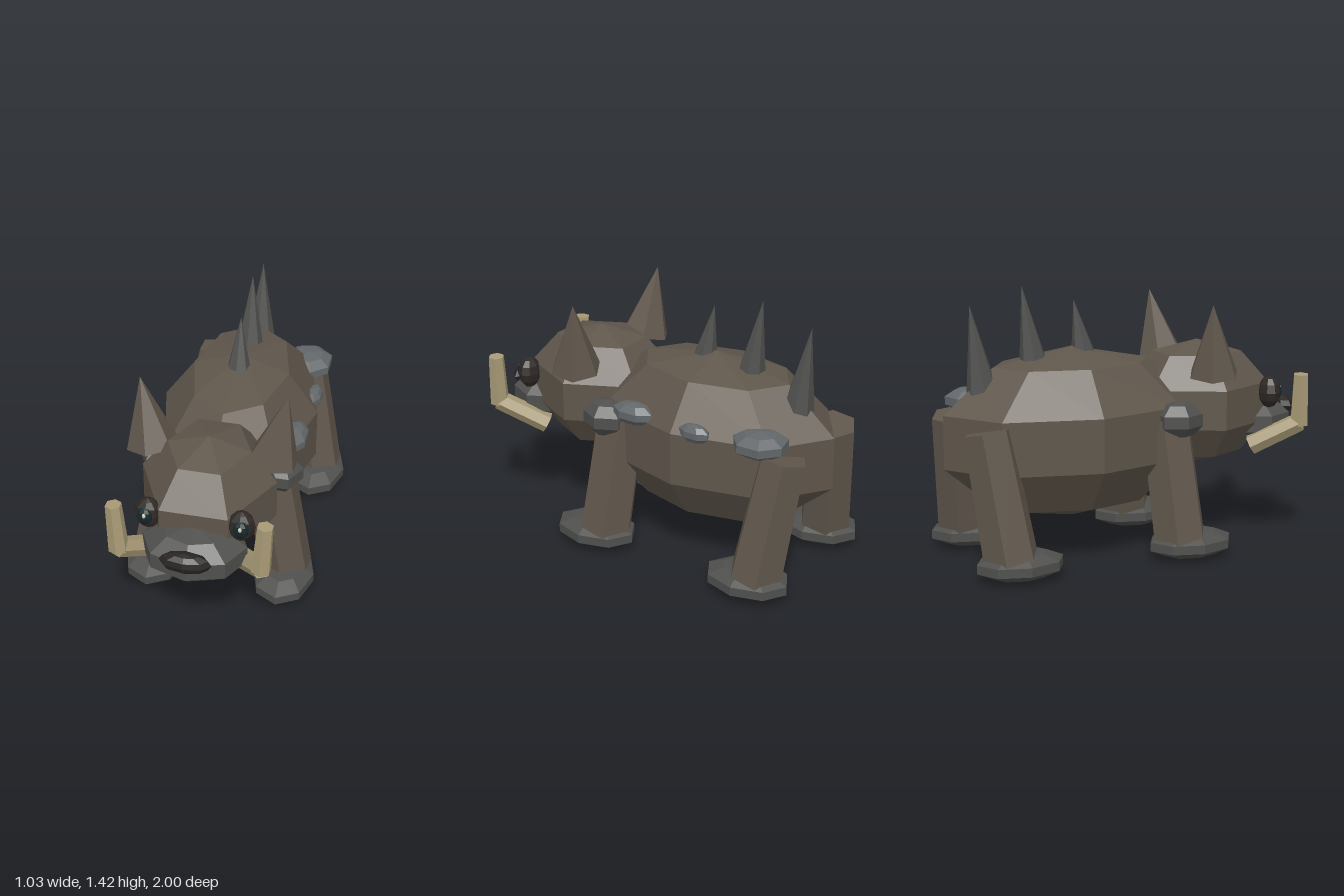
import * as THREE from 'three';

const mat = (color) => new THREE.MeshStandardMaterial({ color, flatShading: true });
const hide = mat(0x5f564b);
const hoof = mat(0x4f4f4d);
const stone = mat(0x62676a);
const spikeGrey = mat(0x50504f);
const ivory = mat(0xa89a76);
const black = mat(0x272423);
const lidBrown = mat(0x2f2925);
const pupilBlue = mat(0x14272b);
const glint = mat(0xd8cfb4);

export function createModel() {
  const root = new THREE.Group();

  // Faceted ellipsoid
  const blob = (name, material, pos, radii, around = 8, rings = 5) => {
    const mesh = new THREE.Mesh(new THREE.SphereGeometry(1, around, rings), material);
    mesh.name = name;
    mesh.position.set(...pos);
    mesh.scale.set(...radii);
    root.add(mesh);
    return mesh;
  };

  // Tapered prism running between two points
  const limb = (name, material, from, to, rFrom, rTo, sides = 6) => {
    const a = new THREE.Vector3(...from);
    const b = new THREE.Vector3(...to);
    const axis = b.clone().sub(a);
    const mesh = new THREE.Mesh(new THREE.CylinderGeometry(rTo, rFrom, axis.length(), sides), material);
    mesh.name = name;
    mesh.position.copy(a).add(b).multiplyScalar(0.5);
    mesh.quaternion.setFromUnitVectors(new THREE.Vector3(0, 1, 0), axis.normalize());
    root.add(mesh);
    return mesh;
  };

  // Trunk, head and muzzle
  blob('body', hide, [0, 0.65, -0.3], [0.44, 0.45, 0.736]);
  blob('head', hide, [0, 0.755, 0.43], [0.365, 0.335, 0.42], 6);
  blob('snout', hoof, [0, 0.64, 0.75], [0.28, 0.145, 0.222]);
  blob('nose', black, [0, 0.7, 0.944], [0.132, 0.056, 0.056], 8, 6);

  // Paired parts
  for (const [side, s] of [['left', 1], ['right', -1]]) {
    blob(`${side}EyeSocket`, lidBrown, [s * 0.235, 0.815, 0.745], [0.071, 0.086, 0.055], 8, 6);
    blob(`${side}Pupil`, pupilBlue, [s * 0.24, 0.82, 0.78], [0.043, 0.05, 0.032], 8, 6);
    blob(`${side}EyeGlint`, glint, [s * 0.24, 0.835, 0.807], [0.01, 0.014, 0.009], 6, 4);

    limb(`${side}Ear`, hide, [s * 0.31, 0.95, 0.37], [s * 0.375, 1.32, 0.33], 0.135, 0);

    limb(`${side}TuskBase`, ivory, [s * 0.215, 0.53, 0.65], [s * 0.36, 0.665, 0.865], 0.055, 0.052);
    limb(`${side}TuskTip`, ivory, [s * 0.358, 0.65, 0.862], [s * 0.376, 0.925, 0.858], 0.052, 0.042);

    blob(`${side}ShoulderPad`, hoof, [s * 0.32, 0.73, 0.165], [0.118, 0.1, 0.135], 6, 5);

    limb(`${side}FrontLeg`, hide, [s * 0.355, 0.08, 0.16], [s * 0.245, 0.72, 0.125], 0.145, 0.135);
    limb(`${side}BackLeg`, hide, [s * 0.355, 0.08, -0.775], [s * 0.245, 0.74, -0.855], 0.145, 0.125);
    for (const [end, z] of [['Front', 0.22], ['Back', -0.73]]) {
      blob(`${side}${end}Foot`, hoof, [s * 0.353, 0.078, z], [0.172, 0.075, 0.242]);
    }
  }

  // Stone lumps along the left flank
  const lumps = [
    [[0.35, 0.81, -0.03], [0.07, 0.06, 0.128]],
    [[0.38, 0.81, -0.42], [0.045, 0.05, 0.092]],
    [[0.285, 0.805, -0.745], [0.142, 0.068, 0.15]],
  ];
  lumps.forEach(([pos, radii], i) => blob(`flankStone${i + 1}`, stone, pos, radii, 7, 5));

  // Spikes along the spine, leaning back
  const spikes = [
    [1.05, -0.23, 1.34, -0.285, 0.065],
    [1.0, -0.505, 1.425, -0.57, 0.078],
    [0.88, -0.785, 1.34, -0.85, 0.085],
  ];
  spikes.forEach(([y0, z0, y1, z1, r], i) =>
    limb(`backSpike${i + 1}`, spikeGrey, [0, y0, z0], [0, y1, z1], r, 0, 7));

  return root;
}
